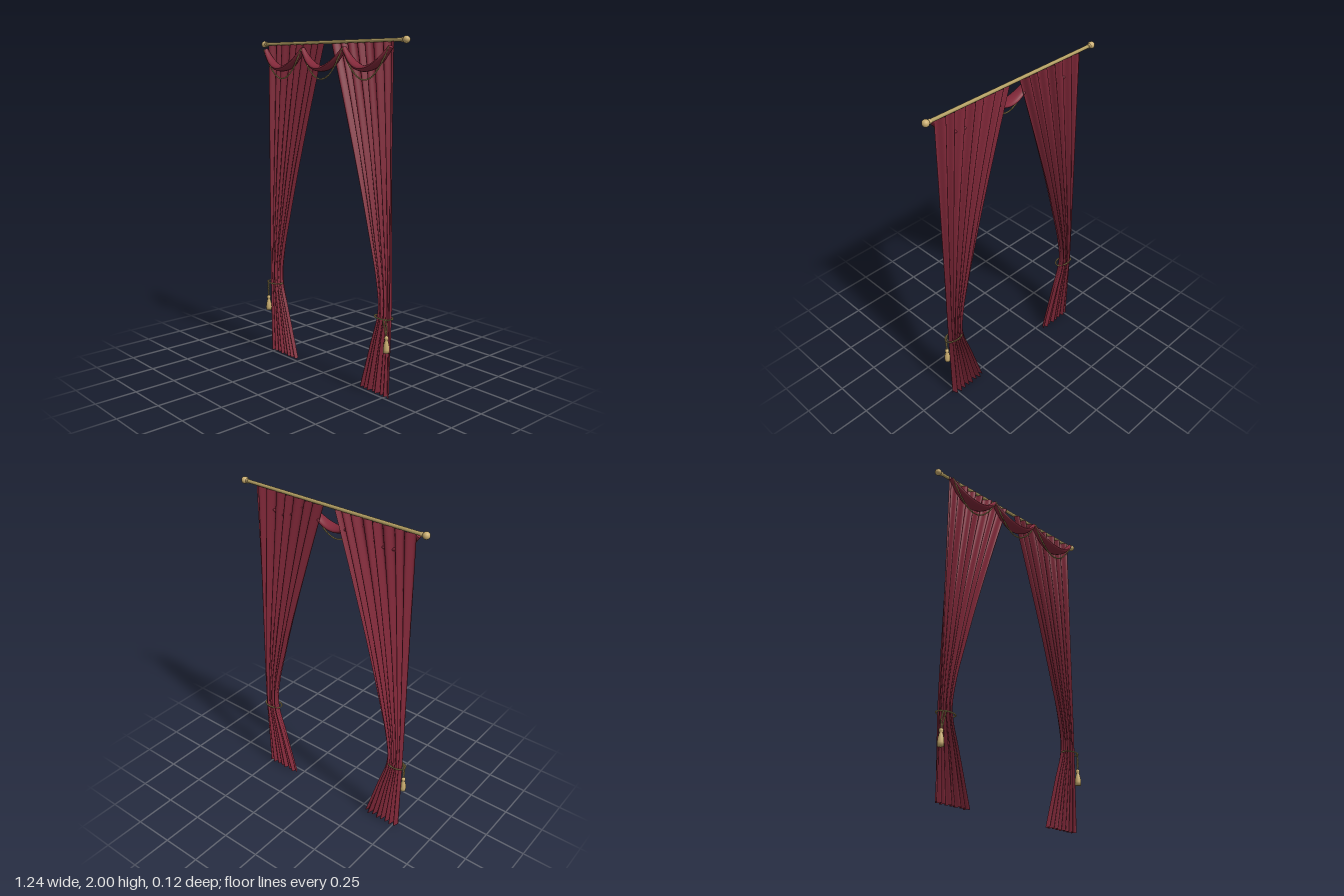
import * as THREE from 'three';
import { ParametricGeometry } from 'three/addons/geometries/ParametricGeometry.js';

const SWAG_W = 0.353;   // width of one swag
const TIE_Y = 0.47;     // height of the tiebacks
const OUTER = 0.53;     // outer edge of the curtains

export function createModel() {
  const velvet = new THREE.MeshStandardMaterial({ color: 0x812839, side: THREE.DoubleSide });
  velvet.name = 'burgundy velvet';
  const gold = new THREE.MeshStandardMaterial({ color: 0xc9ad70 });
  gold.name = 'gold';
  const cordGold = new THREE.MeshStandardMaterial({ color: 0xb09c60 });
  cordGold.name = 'cord gold';

  const model = new THREE.Group();
  model.name = 'drapedCurtains';

  function add(parent, name, geometry, material, x = 0, y = 0, z = 0) {
    const mesh = new THREE.Mesh(geometry, material);
    mesh.name = name;
    mesh.position.set(x, y, z);
    parent.add(mesh);
    return mesh;
  }

  function surface(fn, nu, nv) {
    const g = new ParametricGeometry(fn, nu, nv);
    g.computeVertexNormals();
    return g;
  }

  // Two strands twisted around a curve
  function addRope(parent, name, curve, turns, radius, closed = false) {
    const rope = new THREE.Group();
    rope.name = name;
    const n = turns * 6;
    const frames = curve.computeFrenetFrames(n, closed);
    for (let s = 0; s < 2; s++) {
      const pts = [];
      for (let i = 0; i < (closed ? n : n + 1); i++) {
        const a = (i / n) * turns * Math.PI * 2 + s * Math.PI;
        pts.push(curve.getPointAt(i / n)
          .addScaledVector(frames.normals[i], Math.cos(a) * radius * 0.5)
          .addScaledVector(frames.binormals[i], Math.sin(a) * radius * 0.5));
      }
      const path = new THREE.CatmullRomCurve3(pts, closed);
      add(rope, 'strand', new THREE.TubeGeometry(path, n * 2, radius * 0.55, 5, closed), cordGold);
    }
    parent.add(rope);
  }

  // Rod and ball finials
  const rod = add(model, 'rod', new THREE.CylinderGeometry(0.01, 0.01, 1.18, 20), cordGold, 0, 1.98, -0.04);
  rod.rotation.z = Math.PI / 2;
  for (const s of [-1, 1]) {
    add(model, 'finial', new THREE.SphereGeometry(0.02, 24, 16), gold, s * 0.598, 1.98, -0.04);
    const collar = add(model, 'finialCollar', new THREE.CylinderGeometry(0.013, 0.013, 0.012, 20), gold, s * 0.576, 1.98, -0.04);
    collar.rotation.z = Math.PI / 2;
  }

  // Inner edge of a curtain panel, from floor to rod
  const edge = new THREE.CatmullRomCurve3([
    [0.29, 0], [0.335, 0.15], [0.38, 0.3], [0.428, 0.45], [0.437, 0.54], [0.412, 0.7],
    [0.36, 0.9], [0.277, 1.2], [0.155, 1.6], [0.036, 1.972],
  ].map(([x, y]) => new THREE.Vector3(x, y, 0)));

  // Pleated panels gathered at the tieback
  for (const s of [-1, 1]) {
    const panel = surface((u, v, p) => {
      const e = edge.getPoint(v);
      const wave = Math.sin(u * Math.PI * 2 * 7.5 + 0.6);
      const slow = Math.sin(u * 19 + e.y * 0.9);
      const drift = 0.012 * Math.sin(Math.PI * u) * Math.sin(u * Math.PI * 6);
      p.set(
        s * (OUTER + (e.x - OUTER) * (u + drift)),
        e.y,
        -0.032 + 0.016 * Math.sign(wave) * Math.pow(Math.abs(wave), 0.85) + 0.004 * slow
      );
    }, 120, 56);
    add(model, s > 0 ? 'leftCurtain' : 'rightCurtain', panel, velvet);
  }

  // Three swags, each a flattened tube swelling towards its middle, with a cord below
  for (let k = -1; k <= 1; k++) {
    const x0 = k * SWAG_W;
    const mid = (t) => Math.sin(Math.PI * t);
    const path = (t, drop) => new THREE.Vector3(
      x0 + (t - 0.5) * SWAG_W,
      1.945 - drop * (1 - Math.pow(Math.abs(2 * t - 1), 2)),
      0
    );
    const section = (t, a, p) => {
      const c = path(t, 0.113);
      const d = path(t + 0.005, 0.113).sub(path(t - 0.005, 0.113)).normalize();
      const m = mid(t);
      const ry = 0.012 + 0.005 * m;
      const rz = 0.016 + 0.025 * m;
      const h = Math.sin(a) * ry;
      p.set(c.x - d.y * h, c.y + d.x * h, 0.004 + 0.015 * m + Math.cos(a) * rz);
    };
    const tube = surface((u, v, p) => section(u, v * Math.PI * 2, p), 40, 24);
    add(model, 'swag', tube, velvet);
    // End caps of the swag
    for (const t of [0, 1]) {
      const rim = new THREE.Vector3();
      const centre = path(t, 0.113).setZ(0.004);
      const cap = surface((u, v, p) => {
        section(t, v * Math.PI * 2, rim);
        p.lerpVectors(centre, rim, u);
      }, 1, 24);
      add(model, 'swagEnd', cap, velvet);
    }
    const cordPts = [];
    for (let i = 0; i <= 16; i++) cordPts.push(path(i / 16, 0.172).setZ(0.02));
    addRope(model, 'swagCord', new THREE.CatmullRomCurve3(cordPts), 34, 0.0045);
  }

  // Tieback rings with hanging tassels
  const tasselProfile = [
    [0.0001, 0], [0.017, 0.001], [0.0185, 0.02], [0.016, 0.045], [0.011, 0.066],
    [0.0085, 0.074], [0.012, 0.08], [0.0125, 0.088], [0.009, 0.096], [0.0001, 0.1],
  ].map(([r, y]) => new THREE.Vector2(r, y));

  for (const s of [-1, 1]) {
    const tie = new THREE.Group();
    tie.name = s > 0 ? 'leftTieback' : 'rightTieback';
    const ring = [];
    for (let i = 0; i < 24; i++) {
      const a = (i / 24) * Math.PI * 2;
      ring.push(new THREE.Vector3(s * (0.488 + 0.06 * Math.cos(a)), TIE_Y, -0.015 + 0.037 * Math.sin(a)));
    }
    addRope(tie, 'tieRing', new THREE.CatmullRomCurve3(ring, true), 30, 0.0045, true);

    for (const [dx, dz] of [[-0.006, 0.003], [0.006, -0.003]]) {
      const cord = new THREE.CatmullRomCurve3([
        new THREE.Vector3(s * (0.52 + dx), TIE_Y, 0.014 + dz),
        new THREE.Vector3(s * (0.527 + dx), 0.425, 0.01 + dz),
        new THREE.Vector3(s * 0.53, 0.37, 0.005),
      ]);
      addRope(tie, 'tasselCord', cord, 10, 0.0045);
    }
    add(tie, 'tassel', new THREE.LatheGeometry(tasselProfile, 20), gold, s * 0.531, 0.278, 0.005);
    model.add(tie);
  }

  return model;
}
